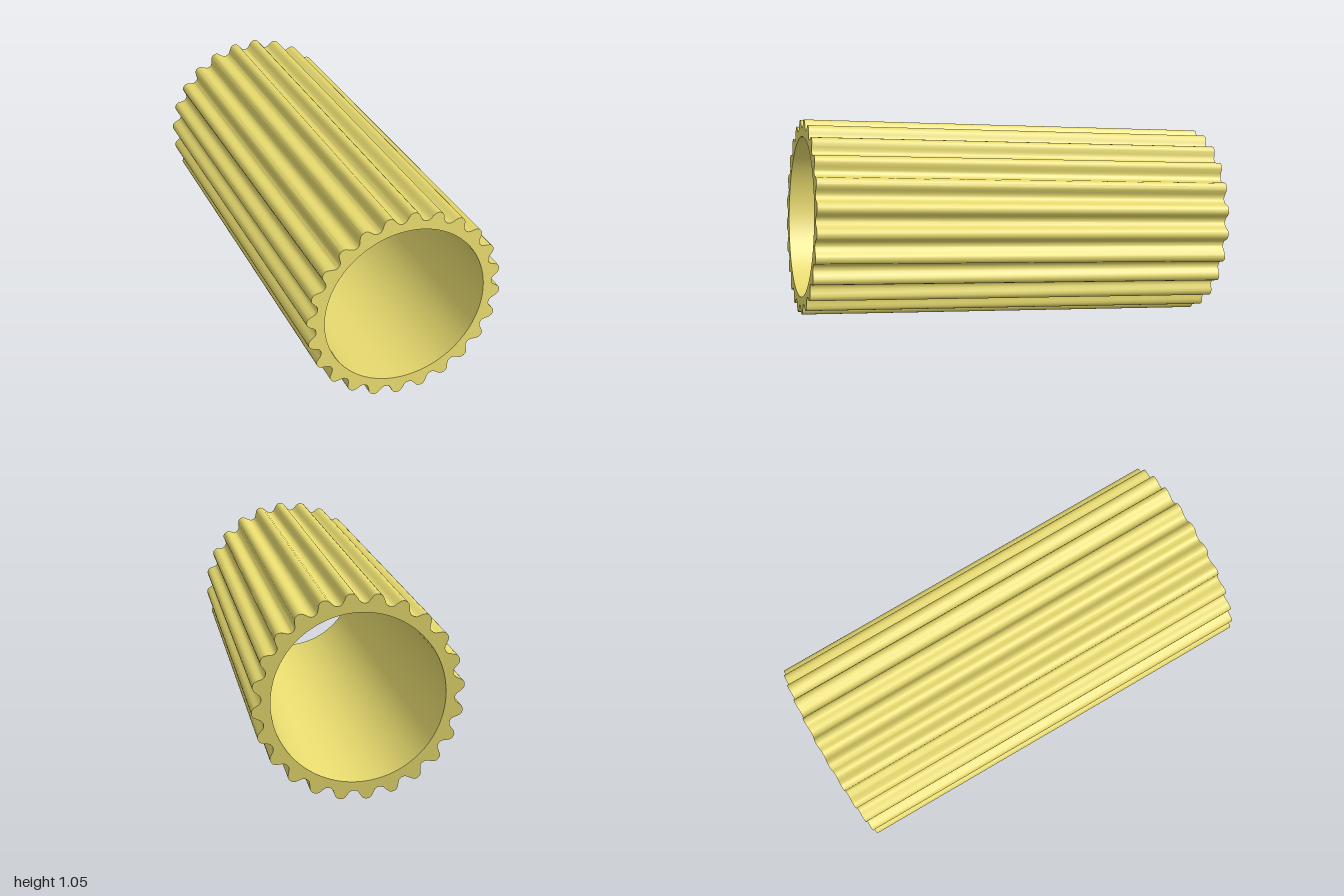
import * as THREE from 'three';
import { toCreasedNormals } from 'three/addons/utils/BufferGeometryUtils.js';

const TEETH = 24, STEPS = 12, LENGTH = 1.874;
const BORE = 0.352, MID = 0.409, AMP = 0.02;

// Rounded tooth wave around the rim
function rimPoints() {
  const pts = [], n = TEETH * STEPS, phase = THREE.MathUtils.degToRad(84);
  for (let i = 0; i < n; i++) {
    const a = (i / n) * Math.PI * 2;
    const wave = Math.tanh(1.3 * Math.cos(TEETH * (a - phase))) / Math.tanh(1.3);
    const r = MID + AMP * wave;
    pts.push(new THREE.Vector2(r * Math.cos(a), r * Math.sin(a)));
  }
  return pts;
}

export function createModel() {
  const group = new THREE.Group();
  group.name = 'flutedTube';

  // Fluted ring section with a round bore, extruded along the axis
  const section = new THREE.Shape(rimPoints());
  const bore = new THREE.Path();
  bore.absarc(0, 0, BORE, 0, Math.PI * 2, true);
  section.holes.push(bore);
  let geometry = new THREE.ExtrudeGeometry(section, {
    depth: LENGTH, bevelEnabled: false, curveSegments: 72,
  });
  geometry.translate(0, 0, -LENGTH / 2);
  geometry = toCreasedNormals(geometry, 0.7);

  const tube = new THREE.Mesh(geometry, new THREE.MeshStandardMaterial({ color: 0xe6d96e }));
  tube.name = 'flutedSleeve';

  // Tilted axis: the front end sits higher and toward -x
  tube.lookAt(-0.29, 0.205, 1.84);
  tube.position.y = 0.529;
  group.add(tube);
  return group;
}
